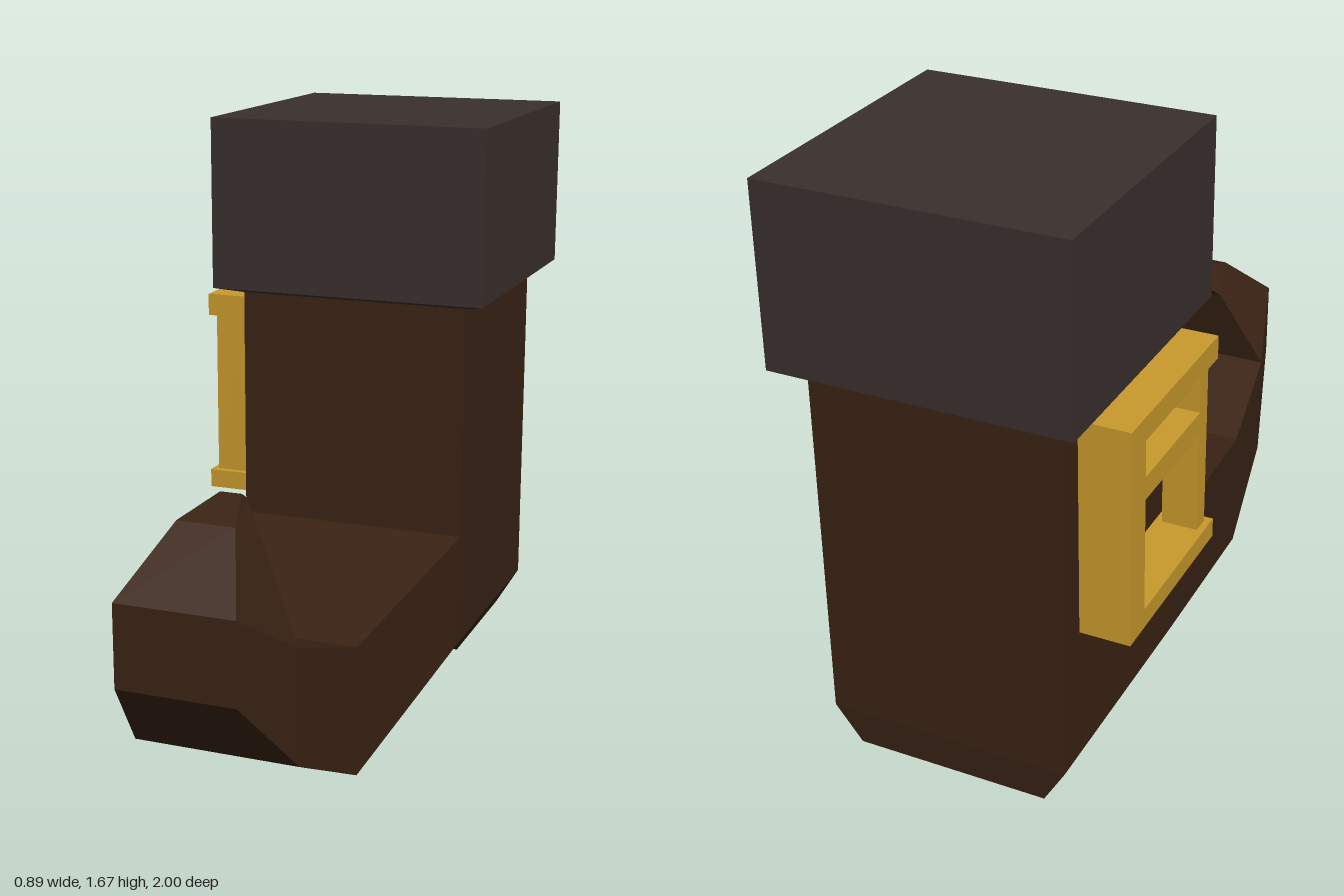
import * as THREE from 'three';

const CX = 0.032; // the boot sits slightly off centre because of the buckle

const leather = new THREE.MeshStandardMaterial({ color: 0x3a2314, flatShading: true });
const fur = new THREE.MeshStandardMaterial({ color: 0x3a302d, flatShading: true });
const gold = new THREE.MeshStandardMaterial({ color: 0xc99a2c, flatShading: true });

// Lofts four-sided sections; each section is two level edges: [halfWidth, y, z] twice.
function loft(name, sections, material) {
  const rings = sections.map(([a, b]) => [
    [CX - a[0], a[1], a[2]], [CX + a[0], a[1], a[2]],
    [CX + b[0], b[1], b[2]], [CX - b[0], b[1], b[2]],
  ]);
  const pos = [];
  const same = (p, q) => p.every((v, i) => v === q[i]);
  const tri = (a, b, c) => {
    if (!same(a, b) && !same(b, c) && !same(a, c)) pos.push(...a, ...b, ...c);
  };
  const quad = (a, b, c, d) => { tri(a, b, c); tri(a, c, d); };
  for (let r = 0; r < rings.length - 1; r++) {
    for (let i = 0; i < 4; i++) {
      const j = (i + 1) % 4;
      quad(rings[r][i], rings[r][j], rings[r + 1][j], rings[r + 1][i]);
    }
  }
  const [s0, s1, s2, s3] = rings[0];
  quad(s3, s2, s1, s0);
  quad(...rings[rings.length - 1]);
  const geo = new THREE.BufferGeometry();
  geo.setAttribute('position', new THREE.Float32BufferAttribute(pos, 3));
  geo.computeVertexNormals();
  const mesh = new THREE.Mesh(geo, material);
  mesh.name = name;
  return mesh;
}

// Level section of an upright part
const level = (y, hw, zFront, zBack) => [[hw, y, zFront], [hw, y, zBack]];

// Box given by its limits
function bar(name, x0, x1, y0, y1, z0, z1) {
  const mesh = new THREE.Mesh(new THREE.BoxGeometry(x1 - x0, y1 - y0, z1 - z0), gold);
  mesh.position.set((x0 + x1) / 2, (y0 + y1) / 2, (z0 + z1) / 2);
  mesh.name = name;
  return mesh;
}

export function createModel() {
  const boot = new THREE.Group();
  boot.name = 'boot';

  // Shaft with tapered heel
  boot.add(loft('shaft', [
    level(0.015, 0.275, -0.46, -0.915),
    level(0.13, 0.3425, -0.24, -0.93),
    level(1.15, 0.3425, -0.24, -0.93),
  ], leather));

  // Foot, running forward and curling back at the toe: sole edge, then upper edge
  const bend = [0.23, 0.48, 0.765];
  boot.add(loft('curledFoot', [
    [[0.3425, 0.13, -0.24], [0.3425, 0.465, -0.24]],
    [[0.27, 0, 0.45], [0.27, 0.37, 0.45]],
    [[0.23, 0.16, 0.765], bend],
    [[0.163, 0.405, 1], bend],
    [[0.163, 0.63, 1], bend],
    [[0.08, 0.79, 0.805], [0.107, 0.725, 0.7]],
    [[0.03, 0.825, 0.65], [0.033, 0.805, 0.62]],
  ], leather));

  // Cuff with a bevelled underside
  boot.add(loft('cuff', [
    level(1.15, 0.3425, -0.24, -0.93),
    level(1.17, 0.4125, -0.17, -1),
    level(1.67, 0.4125, -0.17, -1),
  ], fur));

  // Buckle: thick frame on three sides, slim rod in front, cross prong
  const buckle = new THREE.Group();
  buckle.name = 'buckle';
  buckle.add(
    bar('buckleBack', -0.45, -0.31, 0.515, 1.125, -0.835, -0.75),
    bar('buckleTop', -0.45, -0.31, 1.06, 1.125, -0.75, -0.29),
    bar('buckleBottom', -0.45, -0.31, 0.515, 0.57, -0.75, -0.29),
    bar('buckleRod', -0.432, -0.33, 0.57, 1.06, -0.36, -0.31),
    bar('buckleProng', -0.432, -0.33, 0.865, 0.93, -0.75, -0.36),
  );
  boot.add(buckle);
  return boot;
}
